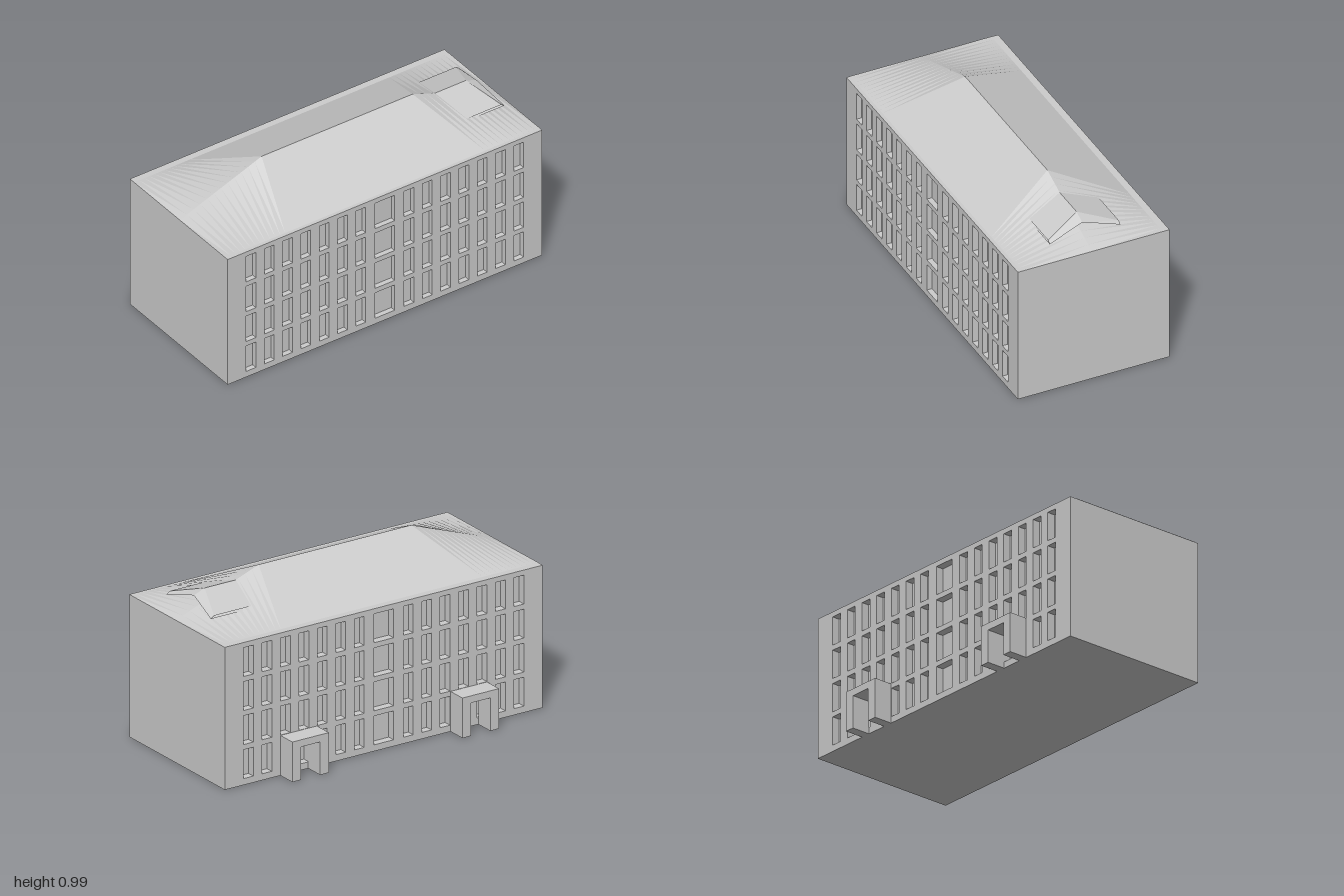
import * as THREE from 'three';

const material = new THREE.MeshStandardMaterial({ color: 0xcccccc, flatShading: true });
const thinMaterial = new THREE.MeshStandardMaterial({ color: 0xcccccc, flatShading: true, side: THREE.DoubleSide });

const FRONT = 0.495, BACK = -0.385, WALL = 0.8;
const FRONT_REVEAL = 0.03, BACK_REVEAL = 0.045;
const RIDGE_Z = 0.065, ROOF_HALF = 0.41;

function add(parent, name, geometry, mat = material) {
  const mesh = new THREE.Mesh(geometry, mat);
  mesh.name = name;
  parent.add(mesh);
  return mesh;
}

function rectangle(target, x0, y0, x1, y1) {
  target.moveTo(x0, y0);
  target.lineTo(x1, y0);
  target.lineTo(x1, y1);
  target.lineTo(x0, y1);
  target.closePath();
  return target;
}

// Wall panel pierced by four rows of windows with a wide central bay
function facade(depth) {
  const shape = rectangle(new THREE.Shape(), -1, 0, 1, WALL);
  for (let row = 0; row < 4; row++) {
    const y = 0.036 + row * 0.191;
    for (let col = -7; col <= 7; col++) {
      const x = col === 0 ? 0 : Math.sign(col) * (0.154 + (Math.abs(col) - 1) * 0.1162);
      const half = col === 0 ? 0.062 : 0.031;
      shape.holes.push(rectangle(new THREE.Path(), x - half, y, x + half, y + 0.162));
    }
  }
  return new THREE.ExtrudeGeometry(shape, { depth, bevelEnabled: false });
}

// Surface stretched between successive rows of points
function loft(rows) {
  const positions = [], index = [], n = rows[0].length;
  rows.forEach(row => row.forEach(p => positions.push(...p)));
  for (let i = 0; i < rows.length - 1; i++) {
    for (let j = 0; j < n - 1; j++) {
      const a = i * n + j, b = a + 1, c = a + n, d = c + 1;
      index.push(a, b, c, b, d, c);
    }
  }
  const geometry = new THREE.BufferGeometry();
  geometry.setAttribute('position', new THREE.Float32BufferAttribute(positions, 3));
  geometry.setIndex(index);
  geometry.computeVertexNormals();
  return geometry;
}

// Gable cross-section running from the back eave over the ridge to the front eave
function gable(ridgeX, ridgeY, eaveX, eaveY, half) {
  return [
    [eaveX, eaveY, RIDGE_Z - half],
    [ridgeX, ridgeY, RIDGE_Z],
    [eaveX, eaveY, RIDGE_Z + half],
  ];
}

// Ridged roof whose ends fan down to the wall top
function roof() {
  const rows = [], steps = 12;
  for (const side of [-1, 1]) {
    for (let i = 0; i <= steps; i++) {
      const t = side < 0 ? 1 - i / steps : i / steps;
      const ridgeX = side * THREE.MathUtils.lerp(0.48, 1, t);
      const eaveX = side * THREE.MathUtils.lerp(0.62, 1, t);
      rows.push(gable(ridgeX, THREE.MathUtils.lerp(0.993, WALL + 0.001, t), eaveX, WALL + 0.001, ROOF_HALF));
    }
  }
  return loft(rows.map(row => row.reverse()));
}

// Small gabled canopy that grows out of one roof end
function dormer() {
  const rows = [
    gable(0.6, 0.94, 0.66, 0.872, 0.205),
    gable(0.82, 0.94, 0.9, 0.872, 0.205),
    gable(0.887, 0.914, 0.92, 0.858, 0.205),
    gable(0.6, 0.914, 0.66, 0.858, 0.205),
  ];
  return loft(rows.map(row => row.reverse()));
}

// Entrance porch: two side walls under a slab
function porch() {
  const shape = new THREE.Shape();
  [[-0.115, 0], [-0.06, 0], [-0.06, 0.185], [0.06, 0.185], [0.06, 0], [0.115, 0], [0.115, 0.225], [-0.115, 0.225]]
    .forEach(([x, y], i) => (i ? shape.lineTo(x, y) : shape.moveTo(x, y)));
  return new THREE.ExtrudeGeometry(shape, { depth: 0.11, bevelEnabled: false });
}

export function createModel() {
  const group = new THREE.Group();
  group.name = 'building';

  // Solid core behind the window recesses
  const z0 = BACK + BACK_REVEAL, z1 = FRONT - FRONT_REVEAL;
  add(group, 'core', new THREE.BoxGeometry(2, WALL, z1 - z0)).position.set(0, WALL / 2, (z0 + z1) / 2);

  // Windowed walls
  add(group, 'frontWall', facade(FRONT_REVEAL)).position.z = z1;
  add(group, 'backWall', facade(BACK_REVEAL)).position.z = BACK;

  // Roof
  add(group, 'roof', roof(), thinMaterial);
  add(group, 'roofDormer', dormer(), thinMaterial);

  // Rear entrances
  for (const side of [-1, 1]) {
    add(group, side < 0 ? 'rightPorch' : 'leftPorch', porch()).position.set(side * 0.535, 0, BACK - 0.11);
  }
  return group;
}
